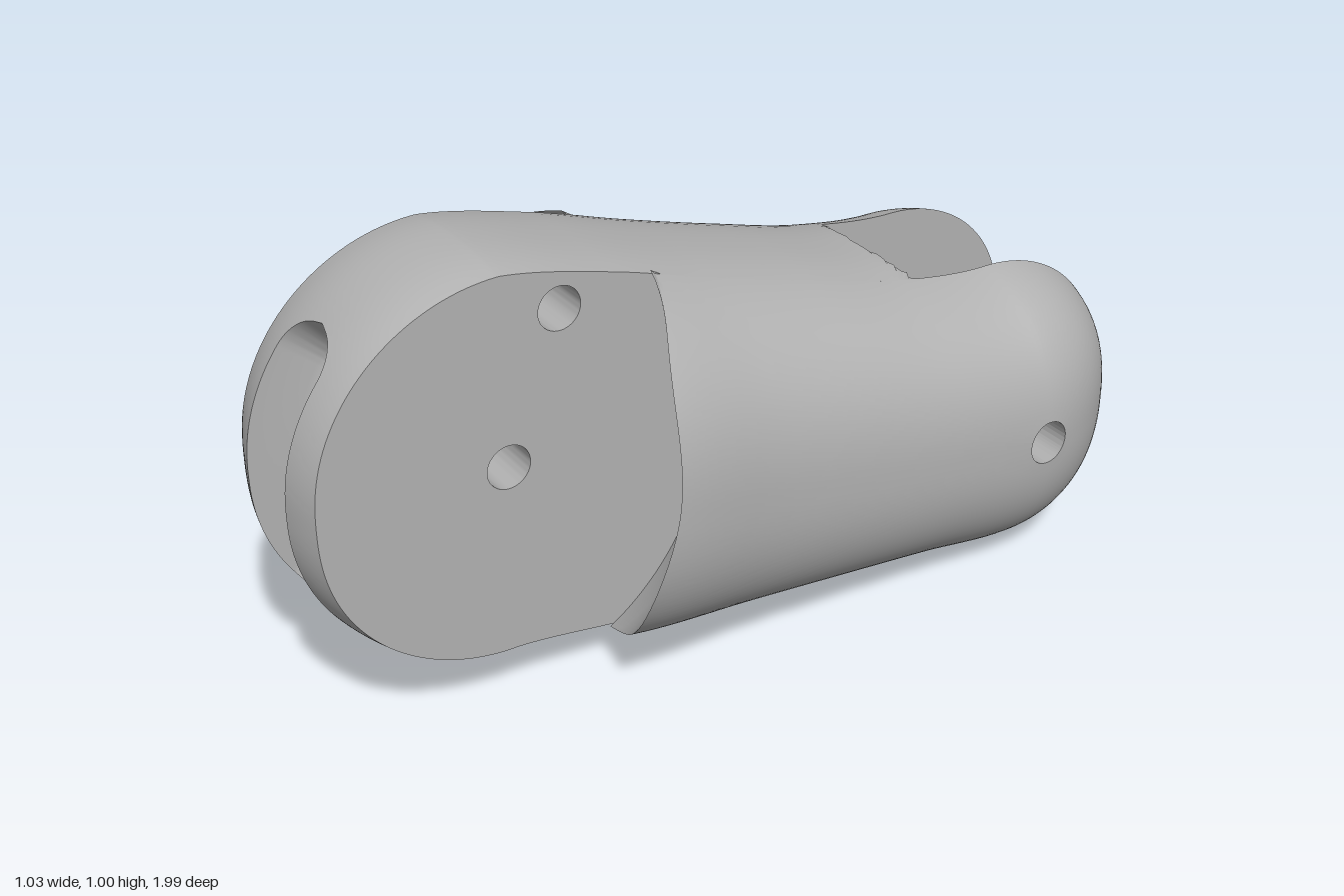
import * as THREE from 'three';
import { toCreasedNormals } from 'three/addons/utils/BufferGeometryUtils.js';

// Local frame: x across, y up, z along the link. Turned slightly about y at the end.
const HALF = 0.168;                       // half width of tongue and of fork slot
const FORK = { z: -0.63, y: 0.355 };      // rear pivot
const TONGUE = { z: 0.57, y: 0.575 };     // front pivot
const BOWL = 0.5, SLOT = 0.435, POWER = 2.4, RAYS = 480;

// Body sections along z: top, bottom, half width
const sections = new THREE.CubicInterpolant(
  [-0.63, -0.39, -0.15, 0.09, 0.33, 0.57],
  [0.705, -0.012, 0.412, 0.735, 0.017, 0.412, 0.80, 0.04, 0.415,
    0.872, 0.066, 0.425, 0.948, 0.098, 0.452, 1.005, 0.13, 0.44], 3);
sections.settings = { endingStart: THREE.ZeroSlopeEnding, endingEnd: THREE.ZeroSlopeEnding };

function section(z) {
  const [top, bottom, width] = sections.evaluate(THREE.MathUtils.clamp(z, -0.6299, 0.5699));
  const q = z < -0.63 ? (z + 0.63) / 0.378 : z > 0.57 ? (z - 0.57) / 0.44 : 0;
  const s = Math.sqrt(Math.max(0, 1 - q * q));   // domed ends
  return { mid: (top + bottom) / 2, height: s * (top - bottom) / 2, width: s * width };
}

// Half width of the rounded body at a point of the side elevation
function halfWidth(z, y) {
  const { mid, height, width } = section(z);
  if (height < 1e-6) return 0;
  const k = 1 - Math.pow(Math.abs(y - mid) / height, POWER);
  return k <= 0 ? 0 : width * Math.pow(k, 1 / POWER);
}

// Hollow front shoulder: a bowl around the front pivot, a little deeper below it
function bowlDistance(z, y) {
  const dy = y - TONGUE.y;
  return Math.hypot(z - TONGUE.z, dy < 0 ? dy * 0.9 : dy);
}
const bowlX = d => Math.max(HALF, Math.sqrt(Math.max(0, BOWL ** 2 - d * d)));
const sideLimit = (z, y) => bowlX(bowlDistance(z, y));
const insideCheek = (z, y) => z < 0.42 && halfWidth(z, y) > sideLimit(z, y);
const insideMiddle = x => (z, y) => halfWidth(z, y) > Math.abs(x) &&
  Math.hypot(x, z - FORK.z, y - FORK.y) > SLOT;

// Distance from a pivot to where a test first fails
function reach(p, angle, inside) {
  const c = Math.cos(angle), s = Math.sin(angle);
  const ok = r => inside(p.z + r * c, p.y + r * s);
  let low = 0.06;
  while (low < 2 && ok(low + 0.015)) low += 0.015;
  let high = low + 0.015;
  for (let i = 0; i < 18; i++) {
    const m = (low + high) / 2;
    if (ok(m)) low = m; else high = m;
  }
  return low;
}

// Skin over rows of points, closed around the first direction
function loft(rows) {
  const n = rows[0].length, index = [];
  rows.forEach((row, i) => {
    const a = i * n, b = ((i + 1) % rows.length) * n;
    for (let j = 0; j < n - 1; j++) {
      index.push(a + j, b + j, b + j + 1, a + j, b + j + 1, a + j + 1);
    }
  });
  const g = new THREE.BufferGeometry();
  g.setAttribute('position', new THREE.Float32BufferAttribute(rows.flat(2), 3));
  g.setIndex(index);
  return toCreasedNormals(g, 0.6);
}

// Ray directions, packed closer toward the far end of the body
const fan = pack => Array.from({ length: RAYS }, (_, i) => {
  const t = (i / RAYS) * Math.PI * 2;
  return t + pack * Math.sin(t);
});
const forwardFan = fan(-0.6), backwardFan = fan(0.65);

// One cheek: fork arm, body side and hollow front shoulder, around the rear pin hole
function cheek(side) {
  const hole = 0.05, steps = 22;
  const rows = forwardFan.map(a => {
    const c = Math.cos(a), s = Math.sin(a);
    const point = (x, r) => [x, FORK.y + r * s, FORK.z + r * c];
    const end = reach(FORK, a, insideCheek);
    const row = [point(HALF, hole)];
    for (let i = 0; i <= steps; i++) {             // outer skin
      const r = hole + (end - hole) * (1 - (1 - i / steps) ** 2);
      const [, y, z] = point(0, r);
      row.push([i === steps ? sideLimit(z, y) : halfWidth(z, y), y, z]);
    }
    const [, ey, ez] = point(0, end);
    const d0 = bowlDistance(ez, ey);
    const d1 = Math.max(d0, Math.sqrt(BOWL ** 2 - HALF ** 2));
    for (let i = 1; i <= 6; i++) {                 // hollow shoulder
      const d = d0 + (d1 - d0) * i / 6, k = d / d0;
      row.push([bowlX(d), TONGUE.y + (ey - TONGUE.y) * k, TONGUE.z + (ez - TONGUE.z) * k]);
    }
    row.push(point(HALF, hole));                   // flat inner wall
    if (side < 0) row.reverse();
    return row.map(([x, y, z]) => [x * side, y, z]);
  });
  return loft(rows);
}

// Half width of a round-ended cut between two angles on the tongue rim
function cutWidth(a, from, to) {
  const s = Math.min(a - from, to - a) * 0.44, r = 0.088;
  return s <= 0 ? 0 : s >= r ? r : Math.sqrt(r * r - (r - s) ** 2);
}

// Rim of the middle slab, with the round-bottomed front channel and the lower recess
function rim() {
  return loft(backwardFan.map(a => {
    const t = a > Math.PI ? a - Math.PI * 2 : a;
    const cut = Math.max(cutWidth(t, -0.8, 0.84), cutWidth(t, -1.38, -0.96));
    const point = (x, r) => [x, TONGUE.y + r * Math.sin(a), TONGUE.z + r * Math.cos(a)];
    const radius = x => reach(TONGUE, a, insideMiddle(x));
    const floor = cut > 0 ? 0.33 : radius(0);
    const half = [];
    for (let i = 0; i <= 6; i++) {
      const x = HALF + (cut - HALF) * i / 6;
      half.push(point(x, radius(x)));
    }
    for (let i = 0; i <= 5; i++) {
      const p = (i / 5) * Math.PI / 2;
      half.push(point(cut * Math.cos(p), floor - cut * Math.sin(p)));
    }
    return [...half, ...half.map(([x, y, z]) => [-x, y, z]).reverse()];
  }));
}

const pinHoles = [[TONGUE.z, TONGUE.y, 0.048], [0.445, 0.885, 0.047]];

// Flat wall of the middle slab, pierced by the pin holes
function wall(side) {
  const shape = new THREE.Shape(backwardFan.map(a => {
    const r = reach(TONGUE, a, insideMiddle(HALF));
    return new THREE.Vector2(-side * (TONGUE.z + r * Math.cos(a)), TONGUE.y + r * Math.sin(a));
  }));
  for (const [z, y, r] of pinHoles) {
    shape.holes.push(new THREE.Path().absarc(-side * z, y, r, 0, Math.PI * 2, true));
  }
  return new THREE.ShapeGeometry(shape, 24)
    .rotateY(side * Math.PI / 2).translate(side * HALF, 0, 0);
}

// Inside of a pin hole
function bore([z, y, r]) {
  return loft(Array.from({ length: 48 }, (_, i) => {
    const a = (i / 48) * Math.PI * 2;
    return [-HALF, HALF].map(x => [x, y + r * Math.sin(a), z + r * Math.cos(a)]);
  }));
}

export function createModel() {
  const grey = new THREE.MeshStandardMaterial({ color: 0xb2b2b2 });
  grey.name = 'plain grey';
  const link = new THREE.Group();
  link.name = 'link';
  const add = (name, geometry) => {
    const mesh = new THREE.Mesh(geometry, grey);
    mesh.name = name;
    link.add(mesh);
  };
  add('tongueRim', rim());
  for (const [side, label] of [[1, 'left'], [-1, 'right']]) {
    add(label + 'Cheek', cheek(side));
    add(label + 'TongueWall', wall(side));
  }
  pinHoles.forEach((hole, i) => add(i ? 'upperPinHole' : 'pivotHole', bore(hole)));
  link.rotation.y = -0.181;
  link.position.x = -0.008;
  const model = new THREE.Group();
  model.name = 'fingerLink';
  model.add(link);
  return model;
}
